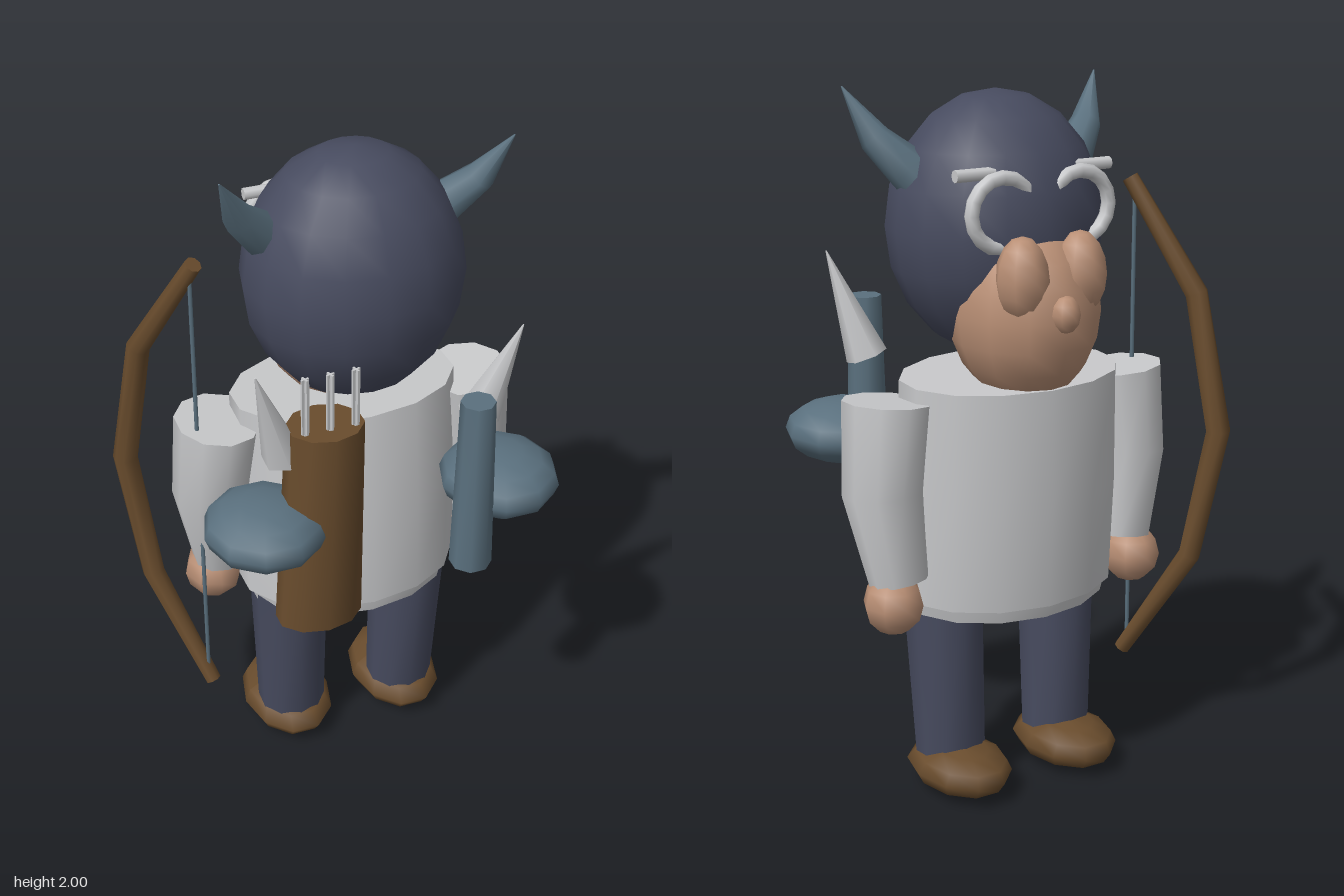
import * as THREE from 'three';

const CX = 0.06; // the body's own middle line

const mat = (name, color) => Object.assign(new THREE.MeshStandardMaterial({ color }), { name });

// Lofted tube through rings [x, y, z, rx, rz]; follow tilts the rings along the path
function loft(rings, sides, follow = true) {
  const pts = rings.map(r => new THREE.Vector3(r[0], r[1], r[2]));
  const pos = [], idx = [], loops = [];
  const up = new THREE.Vector3(0, 1, 0);
  rings.forEach((r, i) => {
    const dir = pts[Math.min(i + 1, pts.length - 1)].clone().sub(pts[Math.max(i - 1, 0)]).normalize();
    const q = new THREE.Quaternion();
    if (follow) q.setFromUnitVectors(up, dir);
    const loop = [];
    for (let j = 0; j < sides; j++) {
      const a = ((j + 0.5) / sides) * Math.PI * 2;
      const v = new THREE.Vector3(Math.cos(a) * r[3], 0, Math.sin(a) * (r[4] ?? r[3]));
      loop.push(v.applyQuaternion(q).add(pts[i]));
    }
    loops.push(loop);
    loop.forEach(v => pos.push(v.x, v.y, v.z));
  });
  for (let i = 0; i < rings.length - 1; i++) {
    for (let j = 0; j < sides; j++) {
      const a = i * sides + j, b = i * sides + (j + 1) % sides;
      idx.push(a, a + sides, b, a + sides, b + sides, b);
    }
  }
  // Flat end caps with their own corners
  [0, loops.length - 1].forEach((li, end) => {
    const c = pos.length / 3;
    pos.push(pts[li].x, pts[li].y, pts[li].z);
    loops[li].forEach(v => pos.push(v.x, v.y, v.z));
    for (let j = 0; j < sides; j++) {
      const a = c + 1 + j, b = c + 1 + (j + 1) % sides;
      if (end) idx.push(c, b, a); else idx.push(c, a, b);
    }
  });
  const g = new THREE.BufferGeometry();
  g.setAttribute('position', new THREE.Float32BufferAttribute(pos, 3));
  g.setIndex(idx);
  g.computeVertexNormals();
  return g;
}

function ball(x, y, z, rx, ry, rz, w = 12, h = 8) {
  return new THREE.SphereGeometry(1, w, h).scale(rx, ry, rz).translate(x, y, z);
}

export function createModel() {
  const group = new THREE.Group();
  const navy = mat('navy', 0x474b5f);
  const skin = mat('skin', 0xb98f75);
  const brown = mat('brown', 0x694c2d);
  const steel = mat('steelBlue', 0x5a707e);
  const cloth = mat('paleGrey', 0xc8c9cb);

  const add = (name, geometry, material, parent = group) => {
    const m = new THREE.Mesh(geometry, material);
    m.name = name;
    parent.add(m);
    return m;
  };

  // Head, face and nose
  add('hood', ball(CX, 1.62, -0.02, 0.31, 0.365, 0.28, 16, 10), navy);
  add('face', ball(CX, 1.405, -0.17, 0.205, 0.255, 0.22, 12, 10), skin);
  add('nose', ball(CX, 1.43, -0.375, 0.042, 0.052, 0.04, 8, 6), skin);

  // Shirt with hem
  add('shirt', loft([
    [CX, 0.6, -0.065, 0.33, 0.243],
    [CX, 0.9, -0.08, 0.335, 0.243],
    [CX, 1.22, -0.095, 0.33, 0.222],
  ], 14), cloth);
  add('hem', loft([
    [CX, 0.56, -0.062, 0.305, 0.225],
    [CX, 0.62, -0.065, 0.32, 0.235],
  ], 14), cloth);

  // Paired parts, given as offsets from the middle line
  for (const s of [1, -1]) {
    const side = new THREE.Group();
    side.name = s > 0 ? 'leftSide' : 'rightSide';
    group.add(side);
    const X = d => CX + s * d;

    add('cheek', ball(X(0.09), 1.52, -0.305, 0.075, 0.115, 0.072, 8, 8), skin, side);
    add('sleeve', loft([
      [X(0.37), 0.68, -0.12, 0.085, 0.08],
      [X(0.4), 0.93, -0.092, 0.113, 0.116],
      [X(0.378), 1.18, -0.08, 0.122, 0.13],
    ], 10), cloth, side);
    add('hand', ball(X(0.395), 0.62, -0.13, 0.085, 0.088, 0.087, 8, 6), skin, side);
    add('leg', loft([
      [X(0.18), 0.1, -0.062, 0.102, 0.096],
      [X(0.19), 0.62, -0.04, 0.115, 0.118],
    ], 10, false), navy, side);

    // Shoe with a raised toe and a flatter sole
    const shoe = ball(0, 0, 0, 0.135, 0.068, 0.192, 10, 6);
    const p = shoe.attributes.position;
    for (let i = 0; i < p.count; i++) {
      if (p.getY(i) > 0) p.setZ(i, p.getZ(i) - p.getY(i) * 0.3);
    }
    shoe.computeVertexNormals();
    shoe.translate(X(0.18), 0.073, -0.11);
    add('shoe', shoe, brown, side);

    add('horn', loft([
      [X(0.2), 1.72, -0.03, 0.065],
      [X(0.26), 1.785, -0.005, 0.06],
      [X(0.335), 1.865, 0.04, 0.043],
      [X(0.4), 2.0, 0.1, 0.002],
    ], 8), steel, side);

    // Goggle ring and the bar above it
    add('goggleRing', new THREE.TorusGeometry(0.093, 0.02, 8, 16)
      .translate(X(0.12), 1.69, -0.255), cloth, side);
    add('goggleBar', new THREE.CylinderGeometry(0.017, 0.017, 0.14, 8)
      .rotateZ(Math.PI / 2).translate(X(0.17), 1.79, -0.216), cloth, side);

    // Rounded shield and spike behind the shoulder
    add('shoulderDisc', ball(X(0.348), 1.02, 0.232, 0.17, 0.09, 0.178, 10, 8), steel, side);
    add('spike', loft([
      [X(0.285), 1.23, 0.212, 0.06],
      [X(0.375), 1.53, 0.27, 0.002],
    ], 6), cloth, side);
  }

  // Quiver and arrows
  add('quiver', loft([
    [-0.135, 0.68, 0.235, 0.125, 0.09],
    [-0.115, 1.325, 0.24, 0.108, 0.092],
  ], 10, false), brown);
  for (const x of [-0.183, -0.113, -0.042]) {
    const arrow = new THREE.Group();
    arrow.name = 'arrow';
    arrow.position.set(x, 1.3, 0.275);
    group.add(arrow);
    add('shaft', new THREE.CylinderGeometry(0.006, 0.006, 0.38, 6), cloth, arrow);
    for (const a of [0, Math.PI / 2]) {
      add('fletching', new THREE.BoxGeometry(0.024, 0.17, 0.006)
        .rotateY(a + 0.3).translate(0, 0.115, 0), cloth, arrow);
    }
  }

  // Carried tube on the back
  add('backTube', loft([
    [0.275, 0.84, 0.353, 0.06],
    [0.277, 1.372, 0.35, 0.048],
  ], 8, false), steel);

  // Bow and string
  add('bow', loft([
    [-0.378, 0.27, -0.035, 0.024],
    [-0.5, 0.6, -0.2, 0.033],
    [-0.545, 0.99, -0.262, 0.036],
    [-0.5, 1.39, -0.2, 0.033],
    [-0.378, 1.71, -0.035, 0.024],
  ], 8), brown);
  add('bowString', new THREE.CylinderGeometry(0.006, 0.006, 1.4, 6)
    .translate(-0.388, 0.99, -0.045), steel);

  return group;
}
